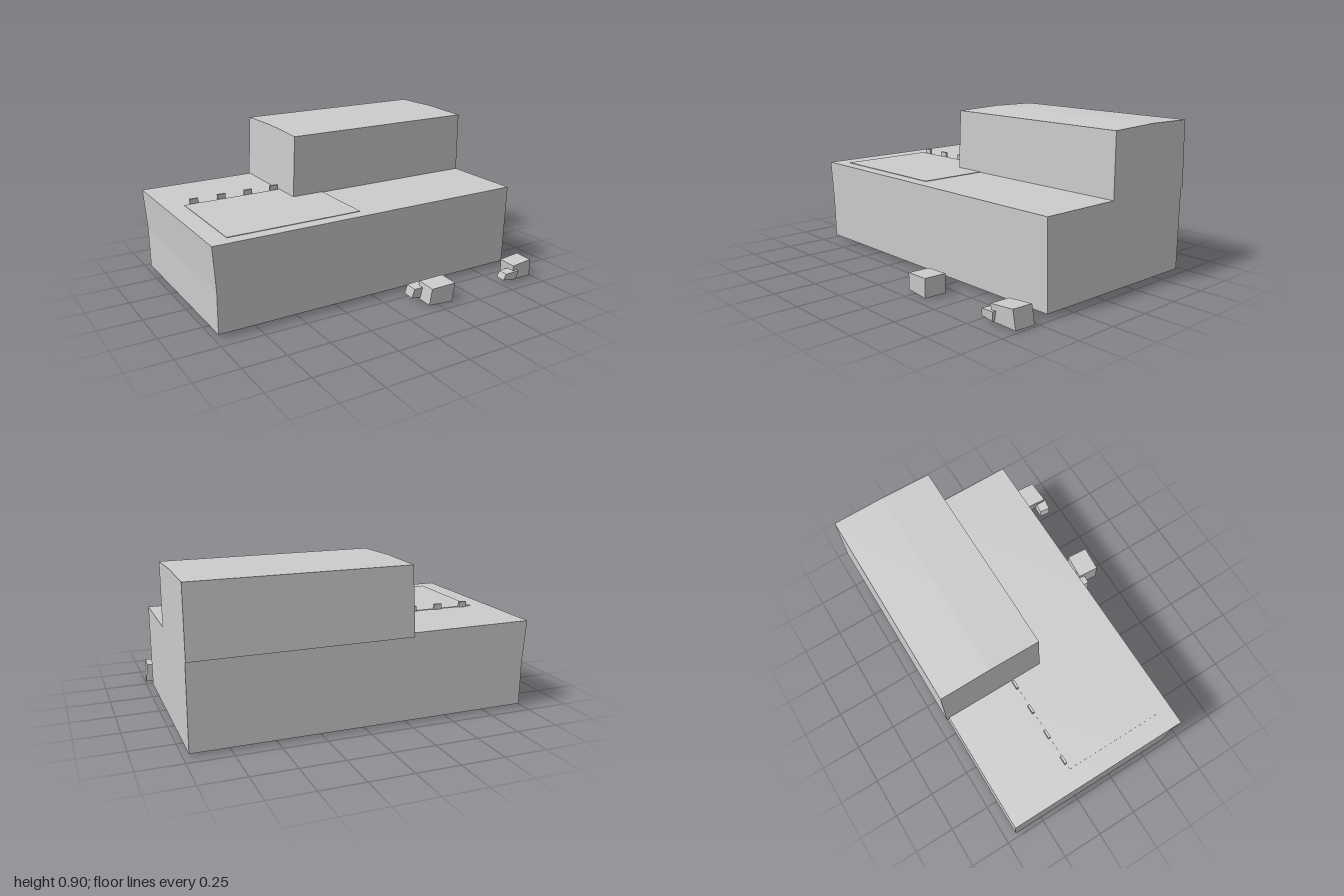
import * as THREE from 'three';

const grey = new THREE.MeshStandardMaterial({ color: 0xcccccc });
grey.name = 'concrete grey';

// Box between two corners; bend(p, u) nudges each vertex, with u running -1..1 on every axis
function bentBox(name, min, max, bend) {
  const size = max.map((v, i) => v - min[i]);
  const mid = max.map((v, i) => (v + min[i]) / 2);
  let geometry = new THREE.BoxGeometry(...size, 2, 2, 2);
  const pos = geometry.attributes.position;
  const p = new THREE.Vector3();
  const u = new THREE.Vector3();
  for (let i = 0; i < pos.count; i++) {
    p.fromBufferAttribute(pos, i);
    u.set(p.x / size[0], p.y / size[1], p.z / size[2]).multiplyScalar(2);
    if (bend) bend(p, u);
    pos.setXYZ(i, p.x, p.y, p.z);
  }
  geometry = geometry.toNonIndexed();
  geometry.computeVertexNormals();
  const mesh = new THREE.Mesh(geometry, grey);
  mesh.name = name;
  mesh.position.set(...mid);
  return mesh;
}

export function createModel() {
  const model = new THREE.Group();
  model.name = 'blockBuilding';

  // Wide lower storey, its walls slightly out of true
  model.add(bentBox('lowerStorey', [-0.985, 0.02, -0.685], [0.97, 0.52, 0.42], (p, u) => {
    if (u.x < 0) p.x += 0.008 * (1 - Math.abs(u.y)) - 0.008 * u.y;
    if (u.z > 0) p.z += 0.006 * u.y;
    if (u.z < 0) p.z -= 0.003 * u.y;
    if (u.y < 0) p.y += 0.003 * u.z;
  }));

  // Upper storey at the back, with a faintly crowned roof
  model.add(bentBox('upperStorey', [-0.257, 0.51, -0.695], [0.97, 0.89, -0.076], (p, u) => {
    if (u.y > 0) p.y += 0.008 * (1 - Math.abs(u.z)) - 0.003 * u.z;
    if (u.y < 0 && u.z < 0) p.y -= 0.01;
    if (u.x < 0) p.x -= 0.008 * (1 - u.y) / 2 - 0.004 * u.y;
    if (u.z < 0) p.z += 0.006 * u.y - 0.002;
  }));

  // Terrace slab and the row of posts along its back edge
  model.add(bentBox('terraceSlab', [-0.88, 0.517, -0.26], [-0.07, 0.523, 0.35]));
  for (let i = 0; i < 4; i++) {
    const x = -0.82 + i * 0.171;
    model.add(bentBox('terracePost', [x - 0.025, 0.515, -0.272], [x + 0.025, 0.553, -0.258]));
  }

  // Loose rocks in front: each pair is a large and a small skewed block
  const skew = (k) => (p, u) => {
    p.x += k * 0.006 * u.y - 0.004 * u.z;
    p.z += 0.005 * u.x * k + 0.004 * u.y;
    p.y += 0.004 * u.x * u.y;
  };
  const rocks = [
    ['largeRock', [0.2, 0.004, 0.555], [0.355, 0.112, 0.687], 1],
    ['smallRock', [0.15, 0.02, 0.507], [0.255, 0.084, 0.588], 1],
    ['largeRock', [0.84, 0.01, 0.537], [0.985, 0.11, 0.658], -1],
    ['smallRock', [0.77, 0.022, 0.605], [0.86, 0.07, 0.672], 1],
  ];
  for (const [name, min, max, k] of rocks) model.add(bentBox(name, min, max, skew(k)));

  return model;
}
